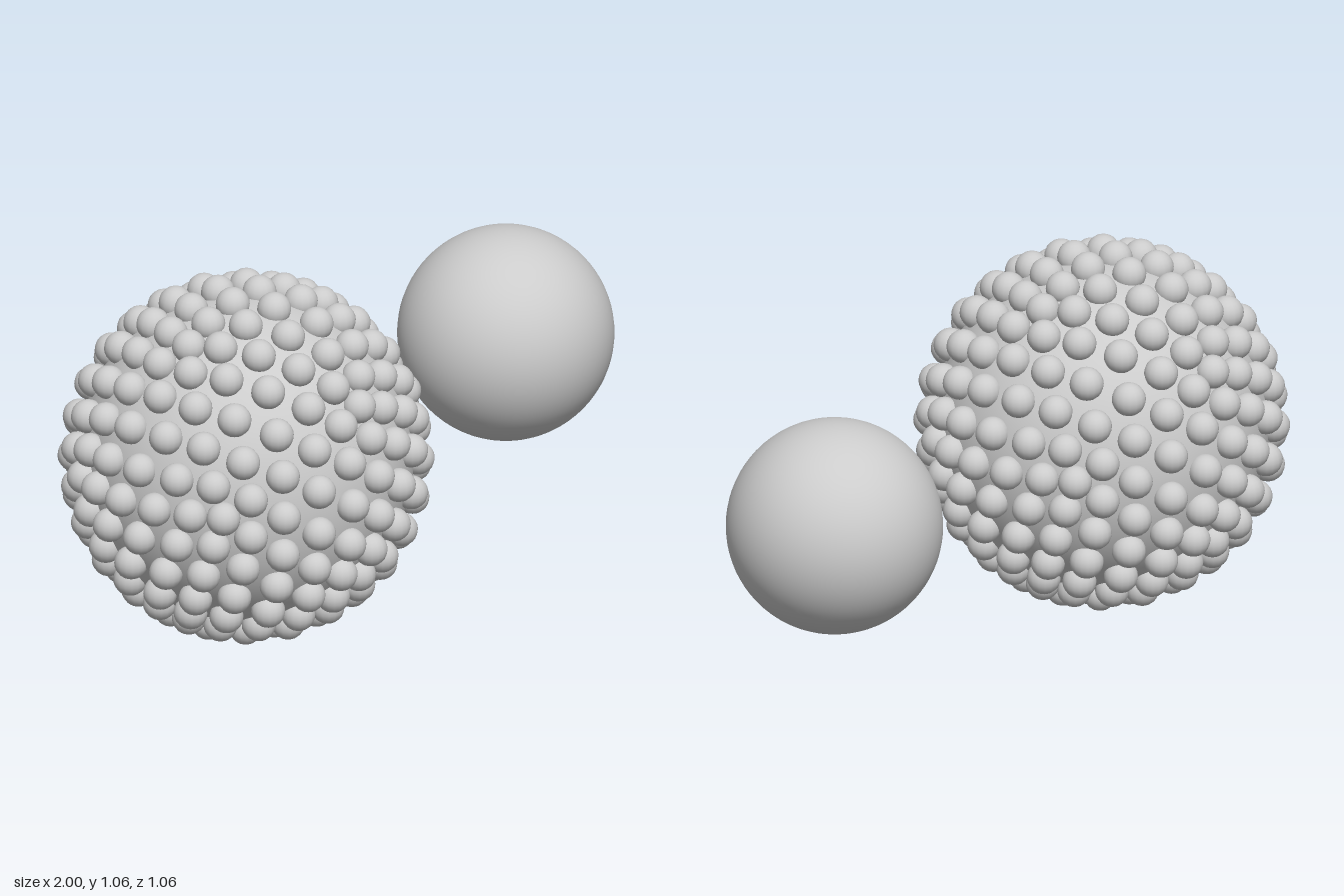
import * as THREE from 'three';
import { mergeVertices } from 'three/addons/utils/BufferGeometryUtils.js';

const material = new THREE.MeshStandardMaterial({ color: 0xcccccc });

function ball(name, radius, x, y, z, w, h, parent) {
  const mesh = new THREE.Mesh(new THREE.SphereGeometry(radius, w, h), material);
  mesh.name = name;
  mesh.position.set(x, y, z);
  parent.add(mesh);
  return mesh;
}

export function createModel() {
  const model = new THREE.Group();
  model.name = 'studdedBallAndSmoothBall';

  // Studded ball: a core covered by beads
  const studded = new THREE.Group();
  studded.name = 'studdedBall';
  studded.position.set(-0.469, 0.532, 0);
  model.add(studded);

  const R = 0.486;
  const beadRadius = 0.0486;
  ball('core', R * 0.98, 0, 0, 0, 64, 40, studded);

  // One bead on each point of an evenly divided icosahedron
  let points = new THREE.IcosahedronGeometry(R, 4);
  points.deleteAttribute('normal');
  points.deleteAttribute('uv');
  points = mergeVertices(points, 1e-3).getAttribute('position');
  const beads = new THREE.Group();
  beads.name = 'beads';
  studded.add(beads);
  const beadGeometry = new THREE.SphereGeometry(beadRadius, 16, 12);
  const placed = [];
  for (let i = 0; i < points.count; i++) {
    const p = new THREE.Vector3().fromBufferAttribute(points, i);
    if (placed.some((q) => q.distanceTo(p) < 0.02)) continue;
    placed.push(p);
    const bead = new THREE.Mesh(beadGeometry, material);
    bead.name = 'bead';
    bead.position.copy(p);
    beads.add(bead);
  }

  // Smooth ball set apart on the model's left
  ball('smoothBall', 0.308, 0.692, 0.553, 0, 64, 40, model);

  return model;
}
